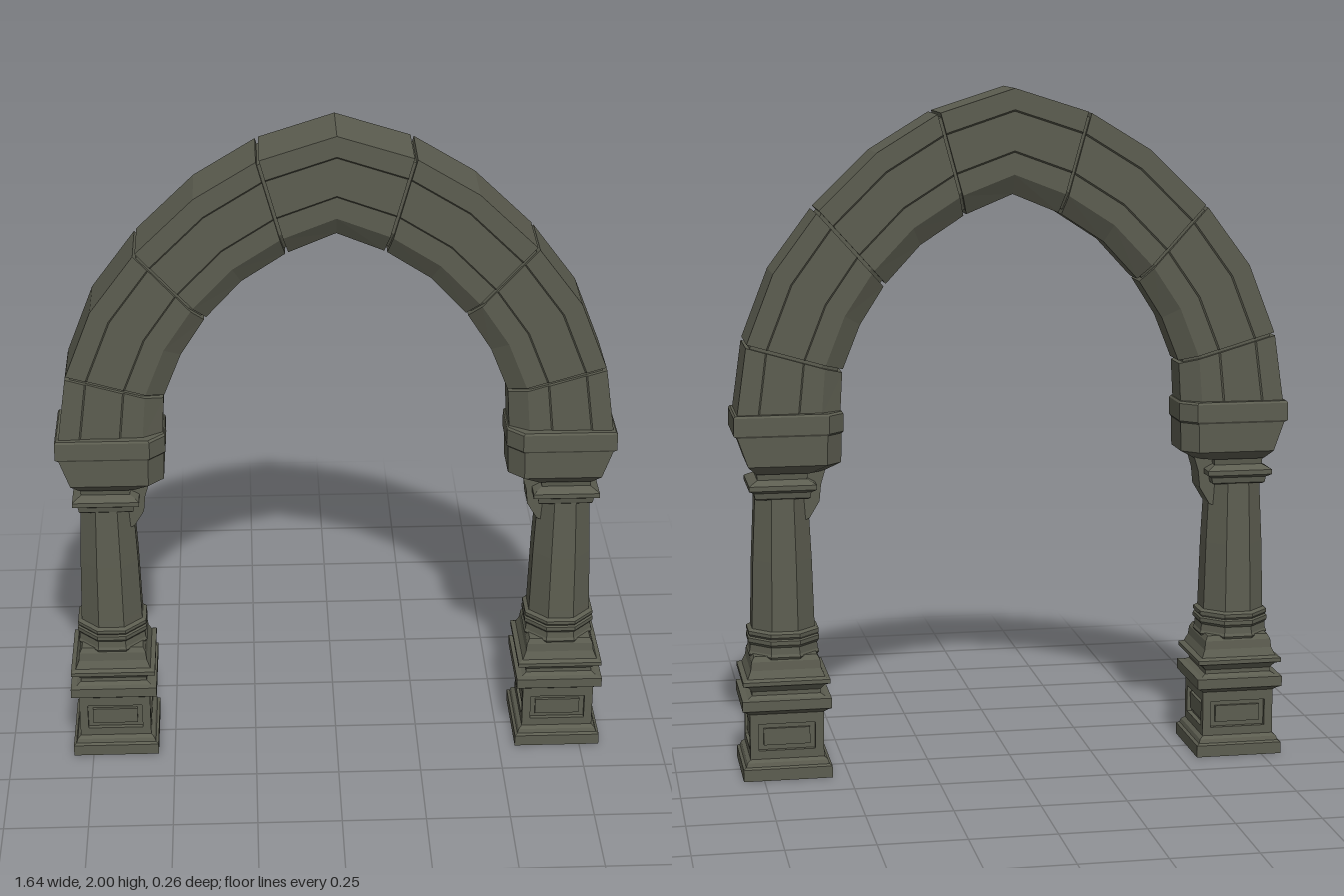
import * as THREE from 'three';

const stone = new THREE.MeshStandardMaterial({ color: 0x5c5d50, flatShading: true });

function part(name, geometry, parent) {
  const flat = geometry.index ? geometry.toNonIndexed() : geometry;
  flat.computeVertexNormals();
  const mesh = new THREE.Mesh(flat, stone);
  mesh.name = name;
  parent.add(mesh);
  return mesh;
}

// Skin over a row of closed rings (Vector3), with a fan cap at each end
function loft(rings) {
  const n = rings[0].length, last = rings.length - 1, pos = [];
  const tri = (...pts) => pts.forEach(p => pos.push(p.x, p.y, p.z));
  const middle = ring => ring.reduce((s, p) => s.add(p), new THREE.Vector3()).divideScalar(n);
  const c0 = middle(rings[0]), c1 = middle(rings[last]);
  for (let j = 0; j < n; j++) {
    const k = (j + 1) % n;
    for (let i = 0; i < last; i++) {
      const a = rings[i][j], b = rings[i][k], c = rings[i + 1][k], d = rings[i + 1][j];
      tri(a, b, c);
      tri(a, c, d);
    }
    tri(c0, rings[0][k], rings[0][j]);
    tri(c1, rings[last][j], rings[last][k]);
  }
  const g = new THREE.BufferGeometry();
  g.setAttribute('position', new THREE.Float32BufferAttribute(pos, 3));
  return g;
}

// Many-sided moulding from [half width, height] pairs, a flat side to the front
function moulding(profile, sides) {
  const k = 1 / Math.cos(Math.PI / sides);
  const pts = profile.map(([r, y]) => new THREE.Vector2(r * k, y));
  pts.unshift(new THREE.Vector2(0, profile[0][1]));
  pts.push(new THREE.Vector2(0, profile[profile.length - 1][1]));
  return new THREE.LatheGeometry(pts, sides, Math.PI / sides);
}

function rect(shape, w, y0, y1) {
  shape.moveTo(-w, y0).lineTo(w, y0).lineTo(w, y1).lineTo(-w, y1).closePath();
  return shape;
}

const pierX = 0.68;

function createPier() {
  const pier = new THREE.Group();
  const column = new THREE.Group();
  column.name = 'column';
  column.position.x = pierX;
  pier.add(column);

  // Square plinth with a framed panel on each side
  part('plinthFoot', moulding([[0.13, 0], [0.13, 0.035], [0.122, 0.04], [0.118, 0.052], [0.108, 0.06]], 4), column);
  part('plinthCore', moulding([[0.094, 0.05], [0.094, 0.21]], 4), column);
  part('plinthCap', moulding([[0.108, 0.195], [0.12, 0.205], [0.13, 0.21], [0.13, 0.24], [0.1, 0.245]], 4), column);
  for (let i = 0; i < 4; i++) {
    const side = new THREE.Group();
    side.name = 'plinthSide';
    side.rotation.y = i * Math.PI / 2;
    column.add(side);
    const frame = rect(new THREE.Shape(), i % 2 ? 0.094 : 0.108, 0.05, 0.205);
    frame.holes.push(rect(new THREE.Path(), 0.083, 0.085, 0.165));
    part('panelFrame', new THREE.ExtrudeGeometry(frame, { depth: 0.014, bevelEnabled: false }), side).position.z = 0.094;
    const panel = rect(new THREE.Shape(), 0.068, 0.1, 0.15);
    part('panel', new THREE.ExtrudeGeometry(panel, { depth: 0.01, bevelEnabled: false }), side).position.z = 0.093;
  }

  // Column base, shaft and capital
  part('columnBase', moulding([[0.118, 0.24], [0.1, 0.25], [0.1, 0.262], [0.112, 0.278], [0.127, 0.284],
    [0.127, 0.296], [0.113, 0.302], [0.103, 0.325], [0.1, 0.35], [0.092, 0.365]], 4), column);
  part('baseRings', moulding([[0.1, 0.355], [0.104, 0.362], [0.1, 0.37], [0.098, 0.39], [0.104, 0.398],
    [0.104, 0.41], [0.099, 0.414], [0.103, 0.42], [0.103, 0.43], [0.092, 0.436]], 8), column);
  part('shaft', moulding([[0.094, 0.36], [0.091, 0.46], [0.086, 0.64], [0.077, 0.83]], 8), column);
  part('capital', moulding([[0.075, 0.824], [0.08, 0.828], [0.083, 0.845], [0.098, 0.854], [0.098, 0.868],
    [0.088, 0.874], [0.072, 0.882], [0.074, 0.9], [0.084, 0.926]], 4), column);

  // Corbel on the inner side
  const corbel = new THREE.Shape([[0.66, 0.74], [0.6, 0.76], [0.57, 0.81], [0.565, 0.86], [0.553, 0.9], [0.55, 0.925], [0.66, 0.925]]
    .reverse().map(([x, y]) => new THREE.Vector2(x, y)));
  part('corbel', new THREE.ExtrudeGeometry(corbel, { depth: 0.09, bevelEnabled: false }), pier).position.z = -0.045;

  // Impost block: height, outer x, inner x, half depth; inner corners cut off
  const rows = [[0.9, 0.755, 0.553, 0.08], [0.926, 0.78, 0.507, 0.104], [1.012, 0.81, 0.505, 0.106],
    [1.018, 0.82, 0.5, 0.11], [1.07, 0.82, 0.5, 0.11], [1.076, 0.815, 0.504, 0.106]];
  part('impost', loft(rows.map(([y, xo, xi, z]) =>
    [[xo, z], [xo, -z], [xi + 0.045, -z], [xi, -z + 0.045], [xi, z - 0.045], [xi + 0.045, z]]
      .map(([x, d]) => new THREE.Vector3(x, y, d)))), pier);
  return pier;
}

// Outer and inner edge of the arch, from the apex down one side
const stations = [
  [0, 2.0, 0, 1.695], [0.22, 1.93, 0.14, 1.637], [0.4, 1.82, 0.27, 1.552], [0.57, 1.655, 0.375, 1.438],
  [0.7, 1.48, 0.447, 1.325], [0.78, 1.275, 0.5, 1.192], [0.81, 1.065, 0.507, 1.065]
];
// Half section: share of the way inwards, half depth
const section = [[0, 0.093], [0.2, 0.093], [0.215, 0.089], [0.585, 0.089], [0.6, 0.085], [0.81, 0.085], [1, 0.05]];
const coreSection = [[0.045, 0.082], [0.78, 0.074], [0.955, 0.042]];

function archRing([xo, yo, xi, yi], half) {
  const full = [...half, ...half.map(([t, z]) => [t, -z]).reverse()];
  return full.map(([t, z]) => new THREE.Vector3(xo + (xi - xo) * t, yo + (yi - yo) * t, z));
}

function createArch() {
  const arch = new THREE.Group();
  arch.name = 'arch';
  const all = [...stations.slice(1).reverse().map(([a, b, c, d]) => [-a, b, -c, d]), ...stations];
  part('archCore', loft(all.map(s => archRing(s, coreSection))), arch);

  // Seven stones with a narrow joint between neighbours
  const joints = [0, 1, 3, 5, 7, 9, 11, 12];
  const trim = 0.005;
  for (let i = 0; i < 7; i++) {
    const rings = all.slice(joints[i], joints[i + 1] + 1).map(s => archRing(s, section));
    const shift = (ring, next) => ring.map((p, j) =>
      p.clone().add(next[j].clone().sub(p).setLength(trim)));
    const end = rings.length - 1;
    const first = shift(rings[0], rings[1]), final = shift(rings[end], rings[end - 1]);
    rings[0] = first;
    rings[end] = final;
    part(i === 3 ? 'keystone' : 'archStone', loft(rings), arch);
  }
  return arch;
}

export function createModel() {
  const model = new THREE.Group();
  model.name = 'archway';
  const left = createPier(), right = createPier();
  left.name = 'leftPier';
  right.name = 'rightPier';
  right.rotation.y = Math.PI;
  model.add(left, right, createArch());
  return model;
}
